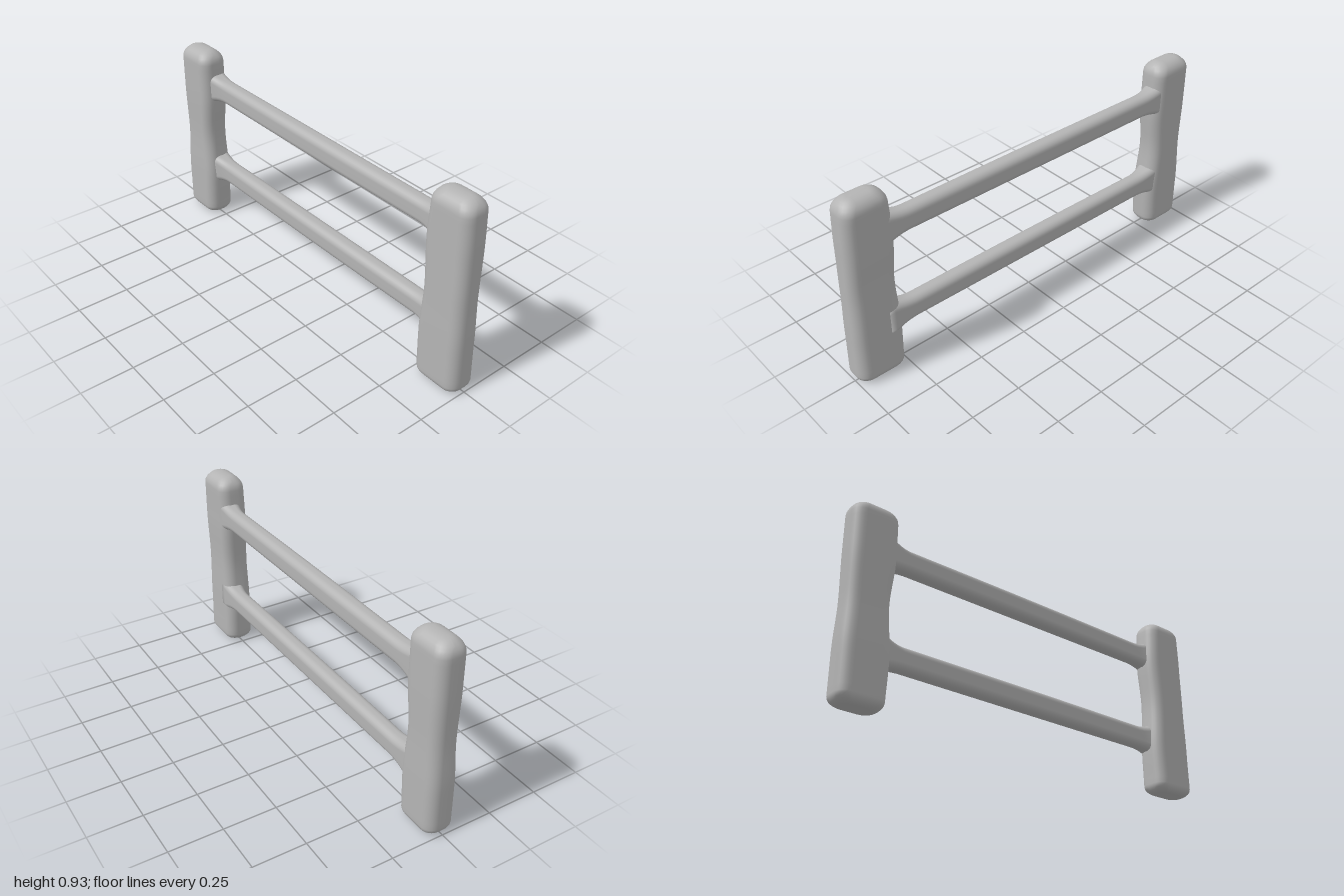
import * as THREE from 'three';

const CORNER_STEPS = 6;

// Rounded-rectangle outline in (u, v), counterclockwise
function ring(u0, u1, v0, v1, radius) {
  const r = Math.min(radius, (u1 - u0) / 2, (v1 - v0) / 2);
  const corners = [[u1 - r, v1 - r], [u0 + r, v1 - r], [u0 + r, v0 + r], [u1 - r, v0 + r]];
  const points = [];
  corners.forEach(([cu, cv], q) => {
    for (let i = 0; i <= CORNER_STEPS; i++) {
      const a = (q + i / CORNER_STEPS) * Math.PI / 2;
      points.push([cu + r * Math.cos(a), cv + r * Math.sin(a)]);
    }
  });
  return points;
}

// Smooth skin over sections [t, u0, u1, v0, v1, radius]; place(t, u, v) sets the axes
function loft(sections, place) {
  const pos = [], index = [];
  const n = 4 * (CORNER_STEPS + 1);
  for (const [t, u0, u1, v0, v1, r] of sections) {
    for (const [u, v] of ring(u0, u1, v0, v1, r)) pos.push(...place(t, u, v));
  }
  for (let s = 0; s < sections.length - 1; s++) {
    for (let i = 0; i < n; i++) {
      const a = s * n + i, b = s * n + (i + 1) % n;
      index.push(a, b, b + n, a, b + n, a + n);
    }
  }
  [0, sections.length - 1].forEach((s, end) => {
    const [t, u0, u1, v0, v1] = sections[s];
    const c = pos.length / 3;
    pos.push(...place(t, (u0 + u1) / 2, (v0 + v1) / 2));
    for (let i = 0; i < n; i++) {
      const a = s * n + i, b = s * n + (i + 1) % n;
      if (end) index.push(c, a, b);
      else index.push(c, b, a);
    }
  });
  const g = new THREE.BufferGeometry();
  g.setAttribute('position', new THREE.Float32BufferAttribute(pos, 3));
  g.setIndex(index);
  g.computeVertexNormals();
  return g;
}

// Smoothly interpolated value through evenly spaced samples
function sample(values, f) {
  const x = f * (values.length - 1);
  const i = Math.min(Math.floor(x), values.length - 2);
  return THREE.MathUtils.lerp(values[i], values[i + 1], THREE.MathUtils.smoothstep(x - i, 0, 1));
}

// Upright post with soft ends; edges are sampled from bottom to top
function postGeometry({ height, left, right, back, front }) {
  const bottomR = 0.04, topR = 0.06, sections = [];
  const add = (y, inset) => {
    const f = y / height;
    sections.push([y, sample(back, f) + inset, sample(front, f) - inset,
      sample(left, f) + inset, sample(right, f) - inset, 0.05]);
  };
  for (let i = 0; i <= 6; i++) {
    const a = i / 6 * Math.PI / 2;
    add(bottomR * (1 - Math.cos(a)), bottomR * (1 - Math.sin(a)));
  }
  for (let i = 1; i < 30; i++) add(bottomR + (height - bottomR - topR) * i / 30, 0);
  for (let i = 6; i >= 0; i--) {
    const a = i / 6 * Math.PI / 2;
    add(height - topR * (1 - Math.cos(a)), topR * (1 - Math.sin(a)));
  }
  return loft(sections, (t, u, v) => [v, t, u]);
}

// Crossbar that flares where it meets the posts
function railGeometry(y) {
  const sections = [];
  for (let i = 0; i <= 60; i++) {
    const x = -0.83 + 1.66 * i / 60;
    const flare = Math.pow(THREE.MathUtils.clamp((Math.abs(x) - 0.68) / 0.12, 0, 1), 2);
    const sway = 0.004 * Math.cos(x * 2);
    const h = 0.055 + 0.022 * flare;
    sections.push([x, y - h, y + h, -0.062 - 0.006 * flare,
      0.015 + sway + 0.025 * flare, 0.032]);
  }
  return loft(sections, (t, u, v) => [t, u, v]);
}

export function createModel() {
  const model = new THREE.Group();
  model.name = 'fence';
  const grey = new THREE.MeshStandardMaterial({ color: 0xb4b4b4 });
  grey.name = 'plain grey';

  const add = (name, geometry) => {
    const mesh = new THREE.Mesh(geometry, grey);
    mesh.name = name;
    model.add(mesh);
  };

  // Posts, slightly pinched between the rails
  add('rightPost', postGeometry({
    height: 0.925,
    left: [-0.998, -0.998, -0.99, -0.993, -0.993],
    right: [-0.78, -0.773, -0.788, -0.772, -0.775],
    back: [-0.075, -0.075, -0.072, -0.075, -0.075],
    front: [0.068, 0.068, 0.062, 0.066, 0.066],
  }));
  add('leftPost', postGeometry({
    height: 0.932,
    left: [0.763, 0.757, 0.768, 0.757, 0.768],
    right: [0.998, 0.996, 0.992, 0.99, 0.984],
    back: [-0.068, -0.066, -0.063, -0.07, -0.072],
    front: [0.077, 0.075, 0.072, 0.07, 0.069],
  }));

  // Rails
  add('lowerRail', railGeometry(0.275));
  add('upperRail', railGeometry(0.737));

  return model;
}
